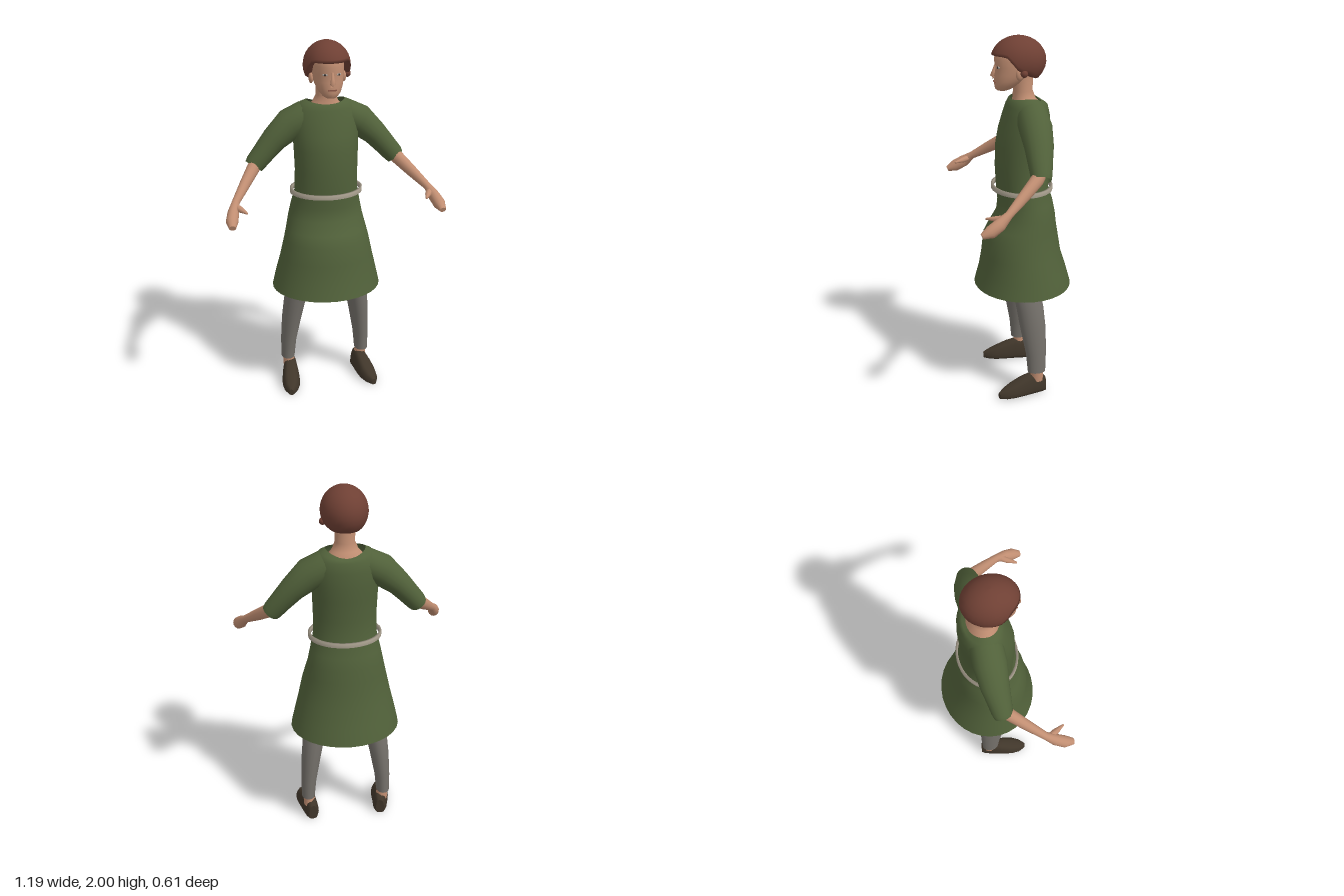
import * as THREE from 'three';

const V3 = (x, y, z) => new THREE.Vector3(x, y, z);
const UP = V3(0, 1, 0);
const mat = (name, color, side = THREE.FrontSide) => {
  const m = new THREE.MeshStandardMaterial({ color, side });
  m.name = name;
  return m;
};

// Smooth skin over a list of rings of points, with optional flat end caps
function skin(rings, capStart = true, capEnd = true) {
  const n = rings[0].length, pos = [], idx = [];
  rings.forEach(r => r.forEach(p => pos.push(p.x, p.y, p.z)));
  for (let r = 0; r < rings.length - 1; r++) {
    for (let k = 0; k < n; k++) {
      const a = r * n + k, b = r * n + (k + 1) % n;
      idx.push(a, a + n, b, b, a + n, b + n);
    }
  }
  const cap = (ring, end) => {
    const base = pos.length / 3, c = V3(0, 0, 0);
    ring.forEach(p => { c.add(p); pos.push(p.x, p.y, p.z); });
    c.divideScalar(n);
    pos.push(c.x, c.y, c.z);
    for (let k = 0; k < n; k++) {
      const a = base + k, b = base + (k + 1) % n;
      idx.push(base + n, end ? b : a, end ? a : b);
    }
  };
  if (capStart) cap(rings[0], false);
  if (capEnd) cap(rings[rings.length - 1], true);
  const g = new THREE.BufferGeometry();
  g.setAttribute('position', new THREE.Float32BufferAttribute(pos, 3));
  g.setIndex(idx);
  g.computeVertexNormals();
  return g;
}

// Ellipse ring at c facing along T; sq below 1 makes it boxier
function ring(c, T, ru, rv, n, sq = 1) {
  const V = Math.abs(T.y) > 0.999 ? V3(0, 0, 1) : UP.clone().cross(T).normalize();
  const U = T.clone().cross(V);
  const pw = t => Math.sign(t) * Math.abs(t) ** sq;
  return Array.from({ length: n }, (_, k) => {
    const a = (k / n) * Math.PI * 2;
    return c.clone().addScaledVector(U, pw(Math.cos(a)) * ru).addScaledVector(V, pw(Math.sin(a)) * rv);
  });
}

// Horizontal slices listed upwards: [y, centre x, half width, front z, back z]
const stack = (rows, n = 24) => rows.map(([y, x, rx, zf, zb]) =>
  ring(V3(x, y, (zf + zb) / 2), UP, rx, (zf - zb) / 2, n));

// Limb slices across a path: [x, y, z, height radius, side radius]
function limb(rows, n = 14) {
  const p = rows.map(r => V3(r[0], r[1], r[2]));
  return rows.map((r, i) => {
    const T = p[Math.min(i + 1, p.length - 1)].clone().sub(p[Math.max(i - 1, 0)]).normalize();
    return ring(p[i], T, r[3], r[4], n);
  });
}

export function createModel() {
  const model = new THREE.Group();
  model.name = 'standingFigure';
  const M = {
    skin: mat('skin', 0xc18e72),
    hair: mat('hair', 0x6f4034, THREE.DoubleSide),
    tunic: mat('tunic green', 0x51613a, THREE.DoubleSide),
    hose: mat('hose grey', 0x75716b),
    shoe: mat('shoe brown', 0x40362a),
    belt: mat('belt', 0xa39a8a),
    eye: mat('eye white', 0xb0a8a0),
    pupil: mat('pupil', 0x3c3430),
    lips: mat('lips', 0x8c5848),
  };
  const add = (name, geo, m) => {
    const mesh = new THREE.Mesh(geo, m);
    mesh.name = name;
    model.add(mesh);
    return mesh;
  };
  const flip = (rows, s, i) => rows.map(r => r.map((v, k) => (k === i ? v * s : v)));

  // Tunic: flared skirt, waist, chest and scooped neckline
  const tunic = stack([
    [0.61, 0, 0.305, 0.235, -0.305], [0.7, 0, 0.285, 0.21, -0.28], [0.8, 0, 0.26, 0.193, -0.248],
    [0.9, 0, 0.238, 0.182, -0.232], [0.96, 0, 0.224, 0.15, -0.222], [1.03, 0, 0.208, 0.108, -0.214],
    [1.1, 0, 0.193, 0.1, -0.2], [1.18, 0, 0.175, 0.108, -0.175], [1.3, 0, 0.172, 0.114, -0.17],
    [1.42, 0, 0.176, 0.11, -0.178], [1.5, 0, 0.18, 0.095, -0.182], [1.58, 0, 0.18, 0.07, -0.18],
    [1.635, 0, 0.165, 0.052, -0.168], [1.668, 0, 0.138, 0.04, -0.152], [1.682, 0, 0.105, 0.03, -0.135],
  ], 32);
  tunic.slice(-3).forEach((r, i) => r.forEach(p => {
    const f = (p.z + 0.055) / 0.09;
    p.y -= f * f * (f > 0 ? 0.008 : 0.02) * i;
  }));
  add('tunic', skin(tunic, false, false), M.tunic);

  // Belt: a loose ring around the waist
  const belt = [0.012, -0.012].map(d => ring(V3(0, 1.18 + d, -0.032), UP, 0.2, 0.167, 40));
  const beltIn = [0.012, -0.012].map(d => ring(V3(0, 1.18 + d, -0.032), UP, 0.187, 0.154, 40));
  add('belt', skin([belt[1], belt[0], beltIn[0], beltIn[1], belt[1]], false, false), M.belt);

  // Neck and upper chest
  add('neck', skin(stack([
    [1.58, 0, 0.14, 0.03, -0.15], [1.635, 0, 0.105, 0.025, -0.135], [1.67, 0, 0.07, 0.018, -0.105],
    [1.71, 0, 0.053, 0.015, -0.09], [1.82, 0, 0.055, 0.02, -0.09],
  ])), M.skin);

  // Head
  add('head', skin(stack([
    [1.716, 0, 0.026, 0.1, 0.045], [1.725, 0, 0.04, 0.112, 0.02], [1.745, 0, 0.058, 0.116, -0.01],
    [1.77, 0, 0.07, 0.117, -0.045], [1.8, 0, 0.08, 0.115, -0.08], [1.84, 0, 0.085, 0.112, -0.11],
    [1.88, 0, 0.086, 0.117, -0.125], [1.92, 0, 0.08, 0.108, -0.12], [1.96, 0, 0.055, 0.07, -0.08],
  ])), M.skin);
  add('nose', skin(limb([
    [0, 1.855, 0.108, 0.006, 0.008], [0, 1.82, 0.119, 0.009, 0.01],
    [0, 1.794, 0.128, 0.011, 0.016], [0, 1.783, 0.121, 0.008, 0.012],
  ], 10)), M.skin);
  const mouth = add('mouth', new THREE.BoxGeometry(0.046, 0.007, 0.008), M.lips);
  mouth.position.set(0, 1.762, 0.1145);

  // Hair: bowl-shaped cap, short over the brow and longer behind
  const hair = [];
  const N = 32, rows = 10;
  const smooth = (x, a, b) => THREE.MathUtils.smoothstep(x, a, b);
  for (let i = 0; i <= rows + 1; i++) {
    hair.push(Array.from({ length: N }, (_, k) => {
      const a = (k / N) * Math.PI * 2, f = Math.sin(a);
      const rim = f > 0 ? 1.82 + 0.084 * smooth(f, 0, 0.65) : 1.82 - 0.038 * smooth(-f, 0, 0.8);
      const phi = Math.acos((rim - 1.87) / 0.13) * (1 - Math.min(i, rows) / rows);
      const s = Math.sin(phi);
      return V3(0.125 * s * Math.cos(a), 1.87 + 0.13 * Math.cos(phi), 0.148 * s * f - 0.013);
    }));
  }
  hair.pop();
  // Underside of the hair tucks in to the head
  hair.unshift(hair[0].map(p => V3(p.x * 0.62, p.y + 0.006, p.z * 0.62)));
  add('hair', skin(hair, false, false), M.hair);
  const tuft = add('hairTuft', new THREE.SphereGeometry(0.02, 10, 8), M.hair);
  tuft.position.set(0.112, 1.818, -0.02);

  for (const s of [1, -1]) {
    const side = s > 0 ? 'left' : 'right';

    // Eye and ear
    const eye = add(side + 'Eye', new THREE.SphereGeometry(1, 12, 8), M.eye);
    eye.scale.set(0.015, 0.006, 0.004);
    eye.position.set(s * 0.037, 1.842, 0.1025);
    eye.rotation.y = s * 0.4;
    const pupil = add(side + 'Pupil', new THREE.SphereGeometry(1, 10, 8), M.pupil);
    pupil.scale.set(0.006, 0.006, 0.003);
    pupil.position.set(s * 0.037, 1.842, 0.1052);
    pupil.rotation.y = s * 0.4;
    const ear = add(side + 'Ear', new THREE.SphereGeometry(1, 12, 8), M.skin);
    ear.scale.set(0.013, 0.03, 0.02);
    ear.position.set(s * 0.088, 1.81, 0);

    // Sleeve
    add(side + 'Sleeve', skin(limb(flip([
      [0.1, 1.595, -0.062, 0.082, 0.085], [0.19, 1.55, -0.062, 0.086, 0.088],
      [0.28, 1.47, -0.06, 0.068, 0.076], [0.34, 1.402, -0.052, 0.06, 0.064],
      [0.385, 1.35, -0.047, 0.055, 0.056], [0.397, 1.334, -0.043, 0.05, 0.052],
    ], s, 0), 18), false, false), M.tunic);

    // Forearm and hand
    add(side + 'Forearm', skin(limb(flip([
      [0.35, 1.39, -0.06, 0.042, 0.04], [0.4, 1.335, -0.02, 0.038, 0.034],
      [0.46, 1.275, 0.06, 0.032, 0.028], [0.525, 1.21, 0.15, 0.021, 0.021],
      [0.547, 1.17, 0.2, 0.034, 0.03], [0.562, 1.14, 0.25, 0.034, 0.032],
      [0.566, 1.122, 0.295, 0.015, 0.018],
    ], s, 0))), M.skin);
    add(side + 'Thumb', skin(limb(flip([
      [0.535, 1.195, 0.165, 0.018, 0.018], [0.51, 1.187, 0.21, 0.016, 0.017],
      [0.483, 1.182, 0.26, 0.005, 0.005],
    ], s, 0), 8)), M.skin);

    // Leg, ankle and shoe
    add(side + 'Leg', skin(stack(flip([
      [0.14, 0.222, 0.038, -0.02, -0.12], [0.25, 0.217, 0.044, -0.01, -0.124],
      [0.4, 0.2, 0.055, 0.018, -0.125], [0.52, 0.182, 0.062, 0.036, -0.115],
      [0.62, 0.162, 0.065, 0.055, -0.1], [0.8, 0.115, 0.08, 0.075, -0.1], [1.02, 0.09, 0.085, 0.07, -0.11],
    ], s, 1), 18)), M.hose);
    add(side + 'Ankle', skin(stack(flip([
      [0.08, 0.215, 0.034, -0.035, -0.112], [0.15, 0.22, 0.032, -0.035, -0.105],
    ], s, 1), 14)), M.skin);
    const dir = V3(s * 0.18, 0, 1).normalize();
    const shoe = [
      [0.2, -0.122, 0.09, 0.028], [0.203, -0.1, 0.122, 0.043], [0.213, -0.045, 0.125, 0.05],
      [0.222, 0.015, 0.105, 0.056], [0.231, 0.07, 0.078, 0.055], [0.24, 0.115, 0.055, 0.042],
      [0.246, 0.15, 0.035, 0.014],
    ].map(([x, z, h, w]) => {
      const r = ring(V3(s * x, h / 2, z), dir, h / 2, w, 16, 0.65);
      r.forEach(p => { p.x = s * x + (p.x - s * x) * (1.05 - 0.4 * p.y / h); });
      return r;
    });
    add(side + 'Shoe', skin(shoe), M.shoe);
  }
  return model;
}
